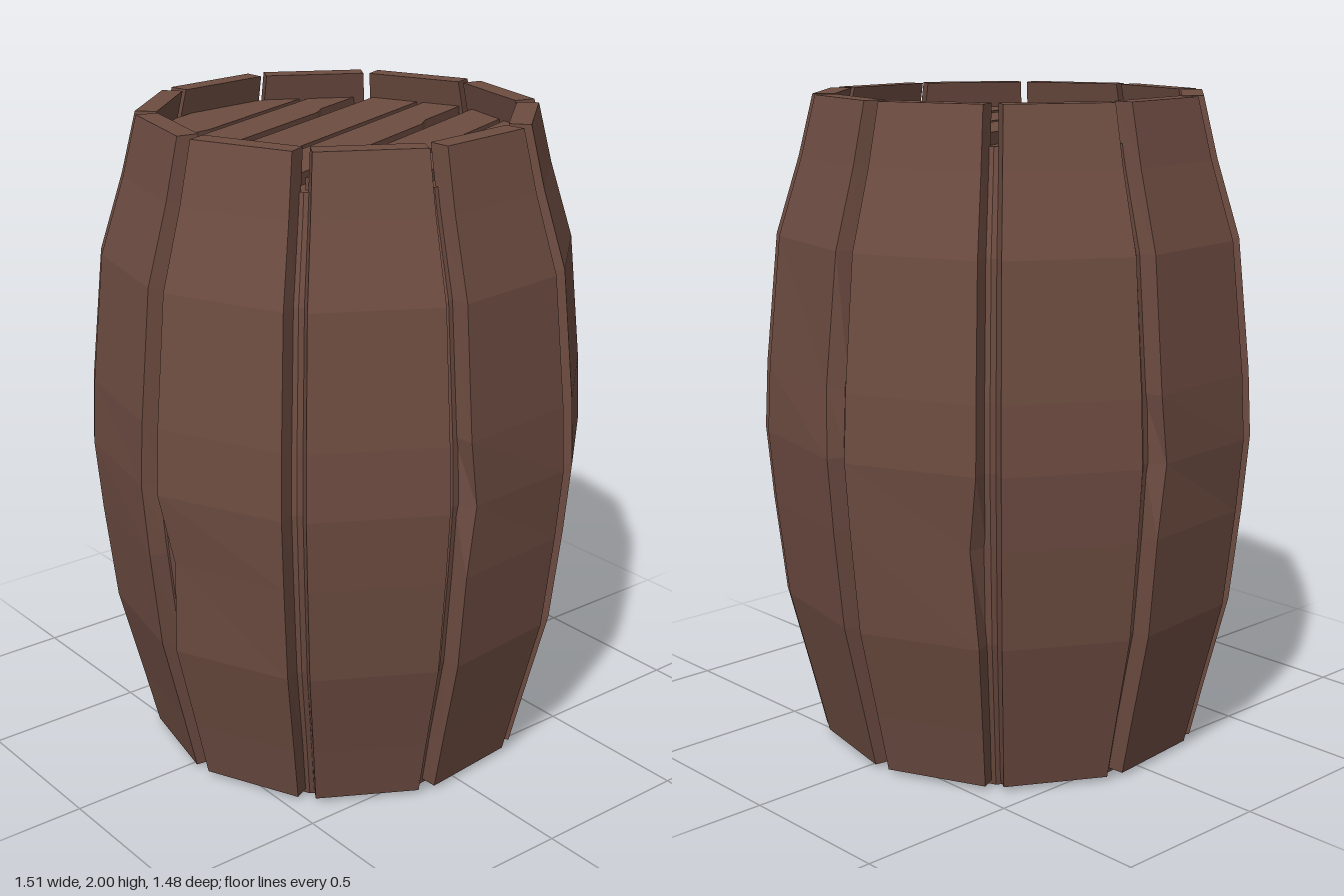
import * as THREE from 'three';

const STAVES = 10;
const SECTOR = (Math.PI * 2) / STAVES;
const START = THREE.MathUtils.degToRad(12);
const THICK = 0.065;

// Outer face radius of the staves at each height: [y, radius]
const PROFILE = [
  [0.015, 0.575], [0.2, 0.618], [0.48, 0.685], [0.78, 0.717], [1.0, 0.735],
  [1.2, 0.725], [1.59, 0.687], [1.82, 0.618], [2.0, 0.575],
];

// Worn edges: stave index -> [side, profile row, depth]
const CHIPS = { 0: [-1, 5, 0.03], 2: [1, 4, 0.03], 4: [1, 3, 0.03], 5: [-1, 4, 0.02], 7: [1, 4, 0.03], 9: [-1, 3, 0.025] };

function radiusAt(y) {
  for (let i = 1; i < PROFILE.length; i++) {
    const [y0, r0] = PROFILE[i - 1], [y1, r1] = PROFILE[i];
    if (y <= y1) return r0 + ((r1 - r0) * (y - y0)) / (y1 - y0);
  }
  return PROFILE[PROFILE.length - 1][1];
}

// One curved board, lofted from four-cornered cross-sections
function staveGeometry(angle, chip) {
  const c = Math.cos(angle), s = Math.sin(angle);
  const place = (r, t, y) => [r * c - t * s, y, r * s + t * c];
  const rings = PROFILE.map(([y, r], row) => {
    const cut = (side) => (chip && chip[0] === side && chip[1] === row ? chip[2] : 0);
    const ri = r - THICK, wo = r * 0.275, wi = ri * 0.305;
    return [
      place(r - cut(-1) * 0.3, -wo + cut(-1), y), place(r - cut(1) * 0.3, wo - cut(1), y),
      place(ri, wi, y), place(ri, -wi, y),
    ];
  });
  const pos = [];
  const quad = (p, q, u, v) => pos.push(...p, ...q, ...u, ...p, ...u, ...v);
  for (let j = 0; j < rings.length - 1; j++) {
    for (let k = 0; k < 4; k++) {
      const n = (k + 1) % 4;
      quad(rings[j][k], rings[j + 1][k], rings[j + 1][n], rings[j][n]);
    }
  }
  quad(...rings[0]);
  quad(...[...rings[rings.length - 1]].reverse());
  const geo = new THREE.BufferGeometry();
  geo.setAttribute('position', new THREE.Float32BufferAttribute(pos, 3));
  geo.computeVertexNormals();
  return geo;
}

// Lid board: slice of a disc between two chords, with a small step in the lower edge
function plankGeometry(low, high, index) {
  const R = 0.55;
  const half = (y) => Math.sqrt(Math.max(0, R * R - y * y));
  const shape = new THREE.Shape();
  const notch = (index % 2 ? 0.45 : -0.5) * half(low);
  const step = index % 2 ? 0.018 : -0.014;
  const steps = 6;
  shape.moveTo(-half(low), low);
  shape.lineTo(notch, low);
  shape.lineTo(notch + 0.06, low + step);
  for (let i = 0; i <= steps; i++) {
    const y = low + step + ((high - low - step) * i) / steps;
    shape.lineTo(half(y), y);
  }
  for (let i = steps; i > 0; i--) {
    const y = low + ((high - low) * i) / steps;
    shape.lineTo(-half(y), y);
  }
  return new THREE.ExtrudeGeometry(shape, { depth: 0.04, bevelEnabled: false }).rotateX(-Math.PI / 2);
}

export function createModel() {
  const model = new THREE.Group();
  model.name = 'barrel';
  const wood = new THREE.MeshStandardMaterial({ color: 0x6d4c41, flatShading: true });
  const add = (parent, name, geo) => {
    const mesh = new THREE.Mesh(geo, wood);
    mesh.name = name;
    parent.add(mesh);
    return mesh;
  };

  // Ring of staves
  const staves = new THREE.Group();
  staves.name = 'staves';
  for (let i = 0; i < STAVES; i++) add(staves, 'stave', staveGeometry(START + i * SECTOR, CHIPS[i]));
  model.add(staves);

  // Inner shell that closes the gaps and the bottom; its corners lie in the gaps
  const coreRadius = (y) => (radiusAt(y) - THICK + 0.01) / Math.cos(SECTOR / 2);
  const points = [new THREE.Vector2(0, 0), new THREE.Vector2(coreRadius(0.015), 0)];
  for (const [y] of PROFILE.slice(1, -1)) points.push(new THREE.Vector2(coreRadius(y), y));
  points.push(new THREE.Vector2(coreRadius(1.885), 1.885), new THREE.Vector2(0, 1.885));
  const coreStart = Math.PI / 2 - (START + SECTOR / 2);
  add(model, 'innerShell', new THREE.LatheGeometry(points, STAVES, coreStart));

  // Lid of parallel planks, recessed below the rim
  const lid = new THREE.Group();
  lid.name = 'lid';
  const grooves = [-0.56, -0.46, -0.33, -0.17, 0.01, 0.19, 0.36, 0.56];
  for (let i = 0; i < grooves.length - 1; i++) {
    const low = Math.max(grooves[i] + 0.018, -0.545);
    const high = Math.min(grooves[i + 1] - 0.018, 0.545);
    add(lid, 'lidPlank', plankGeometry(low, high, i));
  }
  lid.position.y = 1.88;
  lid.rotation.y = THREE.MathUtils.degToRad(22);
  model.add(lid);

  return model;
}
